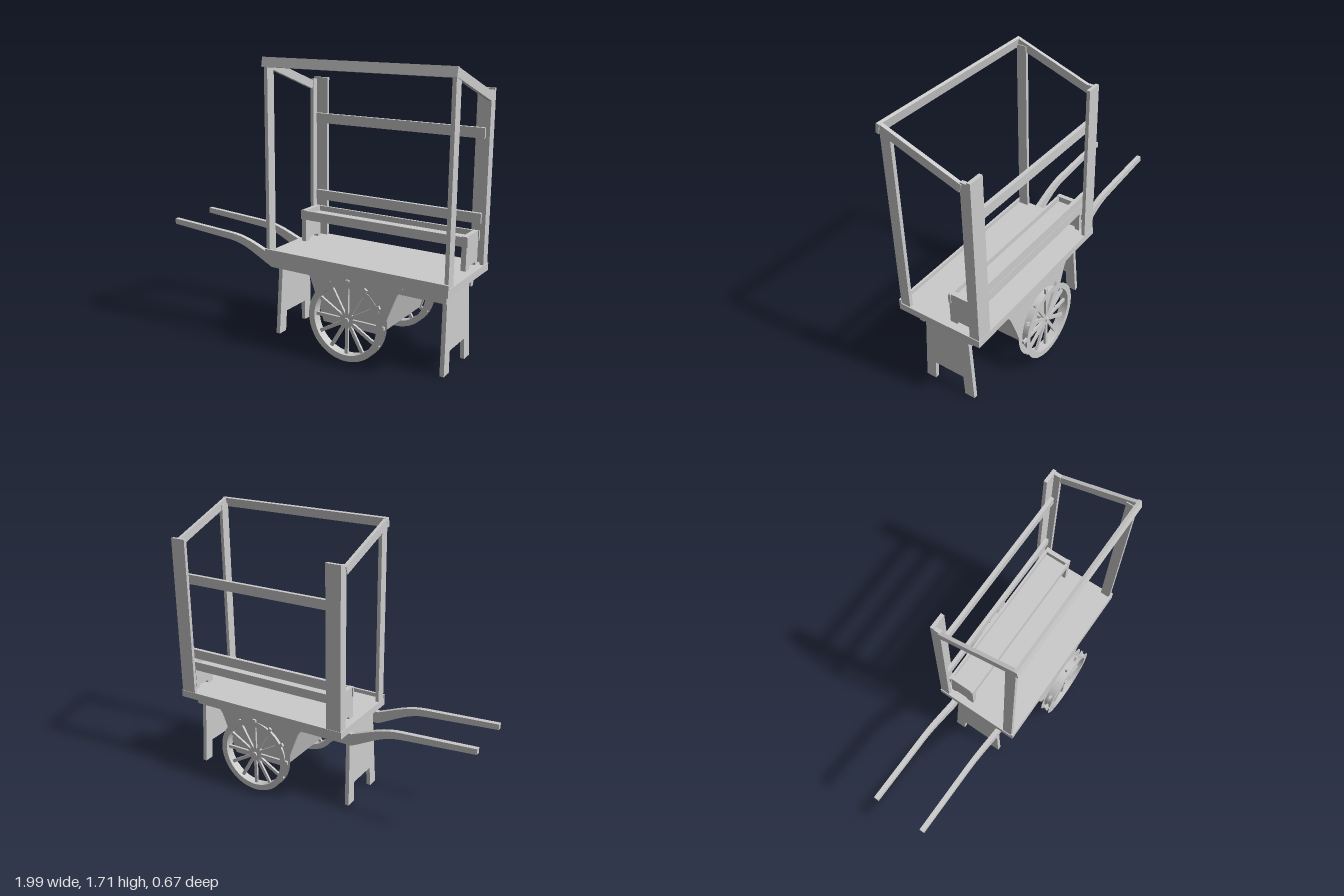
import * as THREE from 'three';

const CX = 0.395; // middle of the cart bed along x
const mat = new THREE.MeshStandardMaterial({ color: 0xcccccc, flatShading: true });
const thin = new THREE.MeshStandardMaterial({ color: 0xcccccc, side: THREE.DoubleSide });

export function createModel() {
  const root = new THREE.Group();

  const add = (name, geo, material = mat, parent = root) => {
    const m = new THREE.Mesh(geo, material);
    m.name = name;
    parent.add(m);
    return m;
  };
  // box given by its limits on each axis
  const box = (name, x0, x1, y0, y1, z0, z1, parent = root) => {
    const m = add(name, new THREE.BoxGeometry(x1 - x0, y1 - y0, z1 - z0), mat, parent);
    m.position.set((x0 + x1) / 2, (y0 + y1) / 2, (z0 + z1) / 2);
    return m;
  };
  // same box at both ends of the bed; a..b are distances out from its middle
  const ends = (name, a, b, y0, y1, z0, z1) => {
    box(name, CX + a, CX + b, y0, y1, z0, z1);
    box(name, CX - b, CX - a, y0, y1, z0, z1);
  };
  // outline in x,y (or z,y) extruded about its own middle plane
  const plate = (points, depth) => {
    const shape = new THREE.Shape(points.map(p => new THREE.Vector2(...p)));
    return new THREE.ExtrudeGeometry(shape, { depth, bevelEnabled: false }).translate(0, 0, -depth / 2);
  };

  // bed
  box('deck', -0.2, 0.99, 0.505, 0.55, -0.275, 0.275);
  box('frontLip', -0.2, 0.99, 0.505, 0.575, 0.265, 0.28);

  // front posts and L-shaped rear posts
  ends('frontPost', 0.567, 0.59, 0.55, 1.67, 0.205, 0.268);
  ends('rearPostSide', 0.567, 0.59, 0.55, 1.545, -0.25, -0.21);
  ends('rearPostBack', 0.492, 0.59, 0.55, 1.555, -0.272, -0.25);

  // canopy frame
  const slope = Math.atan2(0.17, 0.48);
  for (const s of [-1, 1]) {
    const beam = add('slopingRoofBeam', new THREE.BoxGeometry(0.022, 0.05, 0.515));
    beam.position.set(CX + s * 0.584, 1.597, 0.028);
    beam.rotation.x = -slope;
  }
  const topBeam = add('frontRoofBeam', new THREE.BoxGeometry(1.195, 0.056, 0.02));
  topBeam.position.set(0.397, 1.68, 0.271);
  topBeam.rotation.x = -0.2;

  // rear rails
  box('upperRail', -0.16, 0.95, 1.275, 1.335, -0.25, -0.226);
  box('lowerRail', -0.16, 0.95, 0.785, 0.845, -0.25, -0.226);

  // tray bench: notched ends, aprons and recessed shelf
  const benchEnd = plate([[0.05, 0.55], [0.095, 0.55], [0.105, 0.57], [0.18, 0.57],
    [0.19, 0.55], [0.215, 0.55], [0.215, 0.75], [0.05, 0.75]], 0.03);
  benchEnd.rotateY(Math.PI / 2);
  for (const s of [-1, 1]) add('benchEnd', benchEnd).position.x = CX + s * 0.535;
  box('benchFrontApron', -0.16, 0.95, 0.69, 0.747, -0.065, -0.049);
  box('benchBackApron', -0.16, 0.95, 0.69, 0.747, -0.226, -0.21);
  box('benchShelf', -0.13, 0.92, 0.69, 0.715, -0.212, -0.063);

  // chassis rails running out into curved handles
  const rail = new THREE.Shape();
  rail.moveTo(0.94, 0.43);
  rail.lineTo(0.94, 0.506);
  rail.lineTo(-0.22, 0.506);
  rail.bezierCurveTo(-0.34, 0.55, -0.42, 0.593, -0.54, 0.598);
  rail.lineTo(-1, 0.622);
  rail.lineTo(-1, 0.587);
  rail.lineTo(-0.54, 0.555);
  rail.bezierCurveTo(-0.42, 0.545, -0.35, 0.49, -0.22, 0.43);
  const railGeo = new THREE.ExtrudeGeometry(rail, { depth: 0.03, bevelEnabled: false, curveSegments: 8 });
  for (const z of [0.17, -0.17]) add('railAndHandle', railGeo).position.z = z - 0.015;
  ends('crossBeam', 0.46, 0.5, 0.45, 0.506, -0.155, 0.155);

  // notched leg boards, slightly splayed
  const leg = plate([[-0.175, 0], [-0.108, 0], [-0.1, 0.13], [0.1, 0.13], [0.108, 0],
    [0.175, 0], [0.148, 0.45], [0.148, 0.506], [-0.148, 0.506], [-0.148, 0.45]], 0.026);
  leg.rotateY(Math.PI / 2);
  for (const [x, s] of [[-0.185, -1], [0.925, 1]]) {
    const m = add('legBoard', leg);
    m.position.x = x;
    m.rotation.z = s * 0.02;
  }

  // tapered storage box under the bed with shaped side panels
  const half = [[0.19, 0.197], [0.23, 0.31], [0.285, 0.45], [0.315, 0.49], [0.315, 0.506]];
  const outline = [...half.map(([x, y]) => [CX + x, y]),
    ...half.slice().reverse().map(([x, y]) => [CX - x, y])];
  add('storageBox', plate([[0.21, 0.2], [0.58, 0.2], [0.67, 0.506], [0.12, 0.506]], 0.49));
  for (const s of [-1, 1]) add('axlePanel', plate(outline, 0.015)).position.z = s * 0.25;

  // spoked wheels: two flat rim rings around a hoop, spokes reaching into the rim
  const ring = new THREE.RingGeometry(0.203, 0.24, 48);
  const hoop = new THREE.CylinderGeometry(0.203, 0.203, 0.056, 48, 1, true).rotateX(Math.PI / 2);
  const spoke = new THREE.BoxGeometry(0.226, 0.02, 0.014).translate(0.125, 0, 0);
  for (const s of [1, -1]) {
    const wheel = new THREE.Group();
    wheel.name = s > 0 ? 'frontWheel' : 'rearWheel';
    wheel.position.set(CX, 0.263, s * 0.309);
    for (const z of [0.028, -0.028]) {
      const r = add('rimRing', ring, thin, wheel);
      r.position.z = z;
      if (z < 0) r.rotation.y = Math.PI;
    }
    add('rimHoop', hoop, thin, wheel);
    for (let i = 0; i < 12; i++) add('spoke', spoke, mat, wheel).rotation.z = i * Math.PI / 6;
    const hub = add('hub', new THREE.CylinderGeometry(0.016, 0.016, 0.07, 16), mat, wheel);
    hub.rotation.x = Math.PI / 2;
    hub.position.z = s * -0.018;
    root.add(wheel);
  }
  return root;
}
